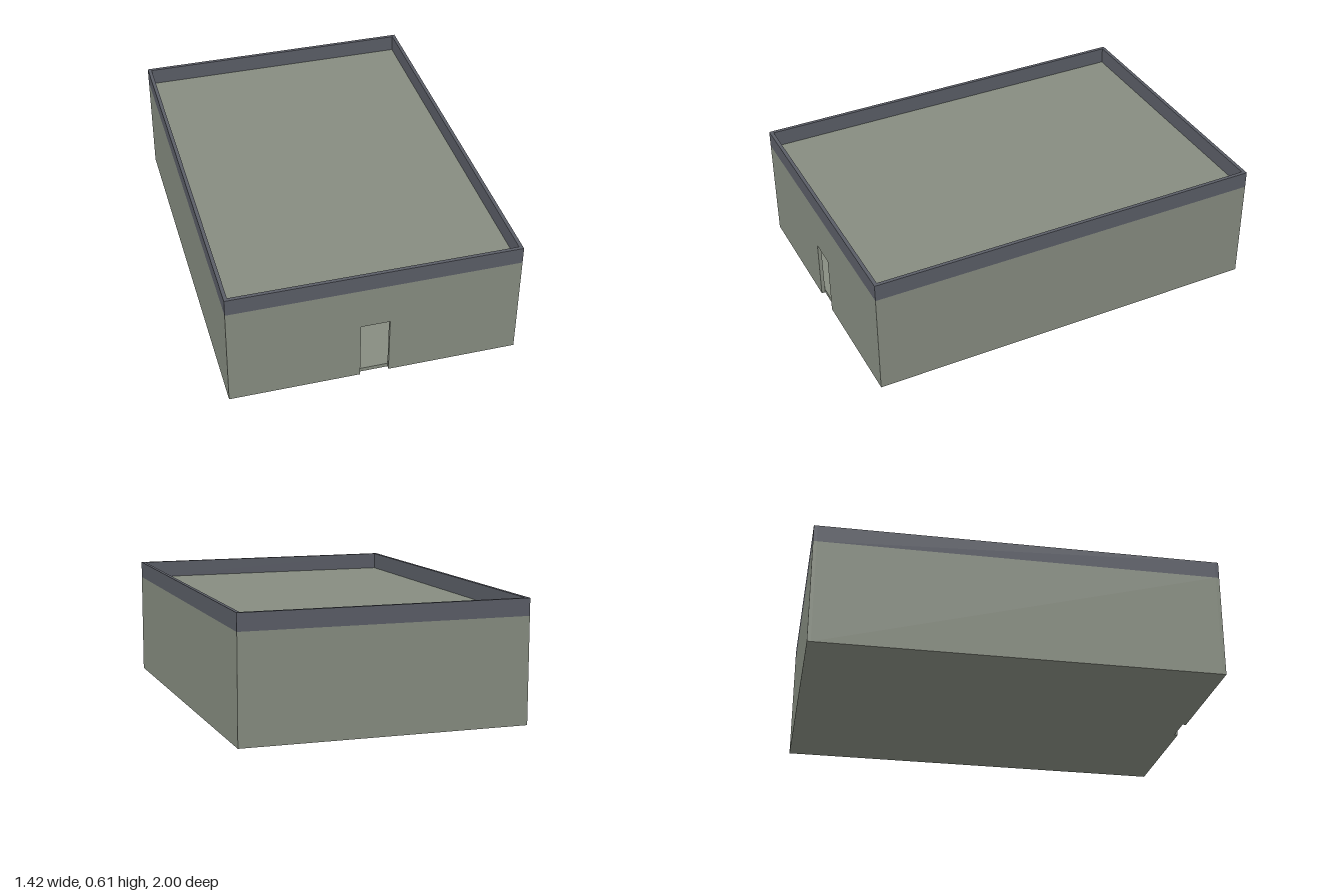
import * as THREE from 'three';

const W = 1.424, D = 2, T = 0.018;      // footprint and wall thickness
const WALL_H = 0.525, TOP = 0.61;       // wall top and parapet top
const DOOR_W = 0.142, DOOR_H = 0.305, SLAB = 0.02;

export function createModel() {
  const wallMat = new THREE.MeshStandardMaterial({ color: 0x868c80 });
  wallMat.name = 'grey green wall';
  const trimMat = new THREE.MeshStandardMaterial({ color: 0x5a5d66 });
  trimMat.name = 'slate trim';

  const model = new THREE.Group();
  model.name = 'building';

  const box = (name, mat, w, h, d, x, y, z) => {
    const mesh = new THREE.Mesh(new THREE.BoxGeometry(w, h, d), mat);
    mesh.name = name;
    mesh.position.set(x, y + h / 2, z);
    model.add(mesh);
  };

  // Front wall with the doorway cut down to the ground
  const x = W / 2, dx = DOOR_W / 2;
  const outline = new THREE.Shape([
    [-x, 0], [-dx, 0], [-dx, DOOR_H], [dx, DOOR_H], [dx, 0], [x, 0], [x, WALL_H], [-x, WALL_H],
  ].map(([px, py]) => new THREE.Vector2(px, py)));
  const front = new THREE.Mesh(
    new THREE.ExtrudeGeometry(outline, { depth: T, bevelEnabled: false }), wallMat);
  front.name = 'frontWall';
  front.position.z = D / 2 - T;
  model.add(front);

  // Remaining walls
  const inW = W - 2 * T, inD = D - 2 * T;
  box('backWall', wallMat, W, WALL_H, T, 0, 0, -(D - T) / 2);
  box('leftWall', wallMat, T, WALL_H, inD, (W - T) / 2, 0, 0);
  box('rightWall', wallMat, T, WALL_H, inD, -(W - T) / 2, 0, 0);

  // Floor and flat roof between the walls
  box('floor', wallMat, inW, SLAB, inD, 0, 0, 0);
  box('roof', wallMat, inW, SLAB, inD, 0, WALL_H - SLAB, 0);

  // Parapet around the roof
  const h = TOP - WALL_H;
  for (const [side, s] of [['front', 1], ['back', -1]])
    box(side + 'Parapet', trimMat, W, h, T, 0, WALL_H, s * (D - T) / 2);
  for (const [side, s] of [['left', 1], ['right', -1]])
    box(side + 'Parapet', trimMat, T, h, inD, s * (W - T) / 2, WALL_H, 0);

  return model;
}
